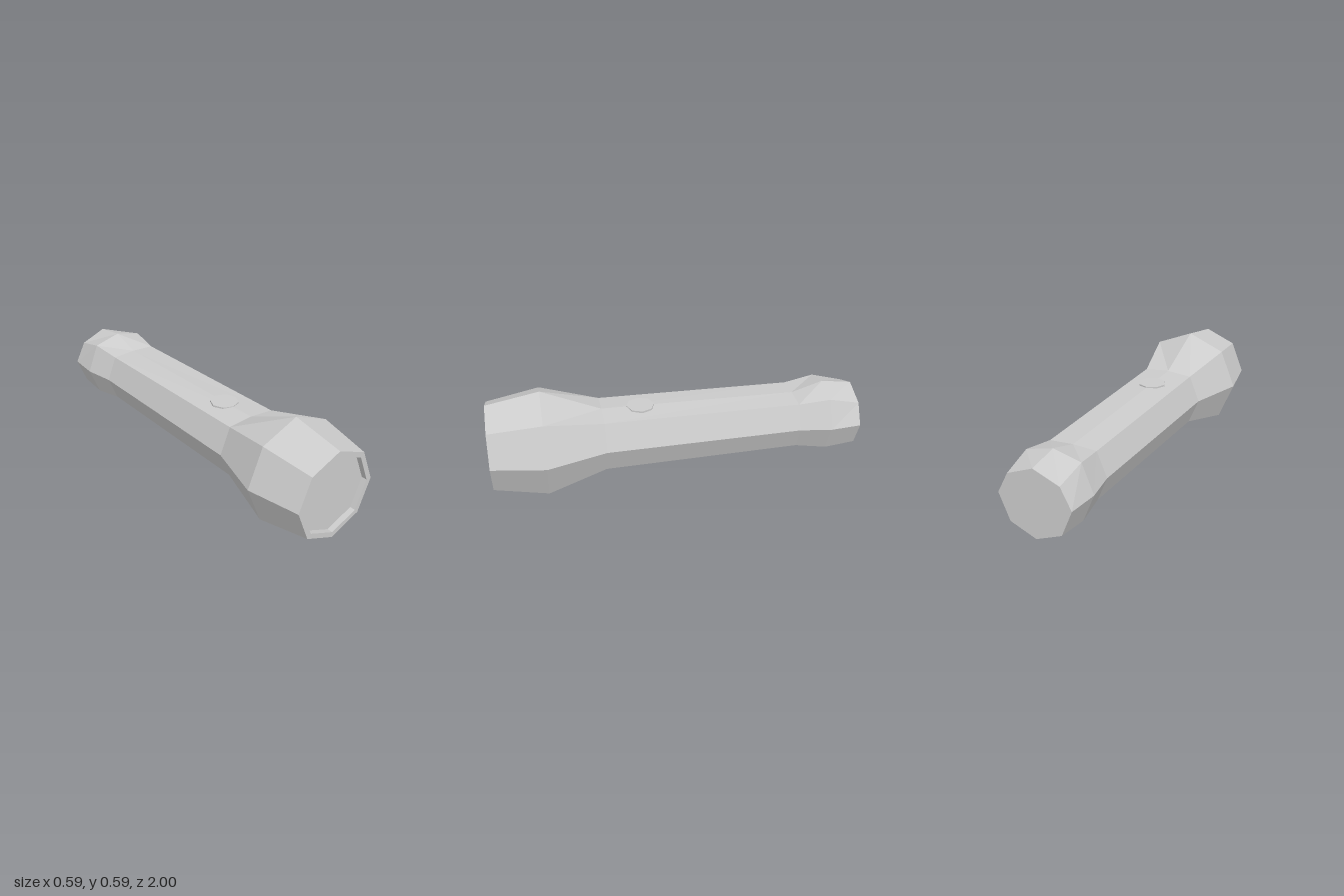
import * as THREE from 'three';

const SIDES = 8;
const AXIS_Y = 0.293;

// One octagonal section: z, radius, and optional heights of its upper side corners and top corner
function ring([z, r, upper, top]) {
  return Array.from({ length: SIDES }, (_, i) => {
    const a = (i / SIDES) * Math.PI * 2;
    let y = AXIS_Y + Math.sin(a) * r;
    if (upper !== undefined && (i === 1 || i === 3)) y = upper;
    if (top !== undefined && i === 2) y = top;
    return [Math.cos(a) * r, y, z];
  });
}

// Flat-sided skin through sections listed from front to back
function loft(name, sections, material) {
  const rings = sections.map(ring);
  const pos = [];
  for (let k = 0; k < rings.length - 1; k++) {
    const [f, b] = [rings[k], rings[k + 1]];
    for (let i = 0; i < SIDES; i++) {
      const j = (i + 1) % SIDES;
      if (sections[k + 1][1] > 0) pos.push(...f[i], ...b[i], ...b[j]);
      if (sections[k][1] > 0) pos.push(...f[i], ...b[j], ...f[j]);
    }
  }
  const geometry = new THREE.BufferGeometry();
  geometry.setAttribute('position', new THREE.Float32BufferAttribute(pos, 3));
  geometry.computeVertexNormals();
  const mesh = new THREE.Mesh(geometry, material);
  mesh.name = name;
  return mesh;
}

export function createModel() {
  const group = new THREE.Group();
  group.name = 'flashlight';
  const grey = new THREE.MeshStandardMaterial({ color: 0xcccccc, flatShading: true });

  // Sections shared by neighbouring parts
  const neck = [0.4, 0.197, 0.436, 0.448];
  const tailStart = [-0.66, 0.183, 0.425, 0.432];

  // Lens set back inside the rim
  group.add(loft('lens', [[0.97, 0], [0.97, 0.212]], grey));

  // Flared head with its rim
  group.add(loft('head', [[0.97, 0.212], [1, 0.212], [1, 0.241], [0.715, 0.293], neck], grey));

  // Tapered handle with a flattened top
  group.add(loft('handle', [neck, tailStart], grey));

  // Tail cap, closed at the back
  group.add(loft('tailCap', [
    tailStart,
    [-0.83, 0.211, 0.447, 0.485],
    [-1, 0.197, 0.404, 0.46],
    [-1, 0],
  ], grey));

  // Low switch button on top of the handle
  const button = new THREE.Mesh(new THREE.CylinderGeometry(0.075, 0.075, 0.03, SIDES), grey);
  button.name = 'switchButton';
  button.position.set(0, 0.434, 0.19);
  group.add(button);

  return group;
}
